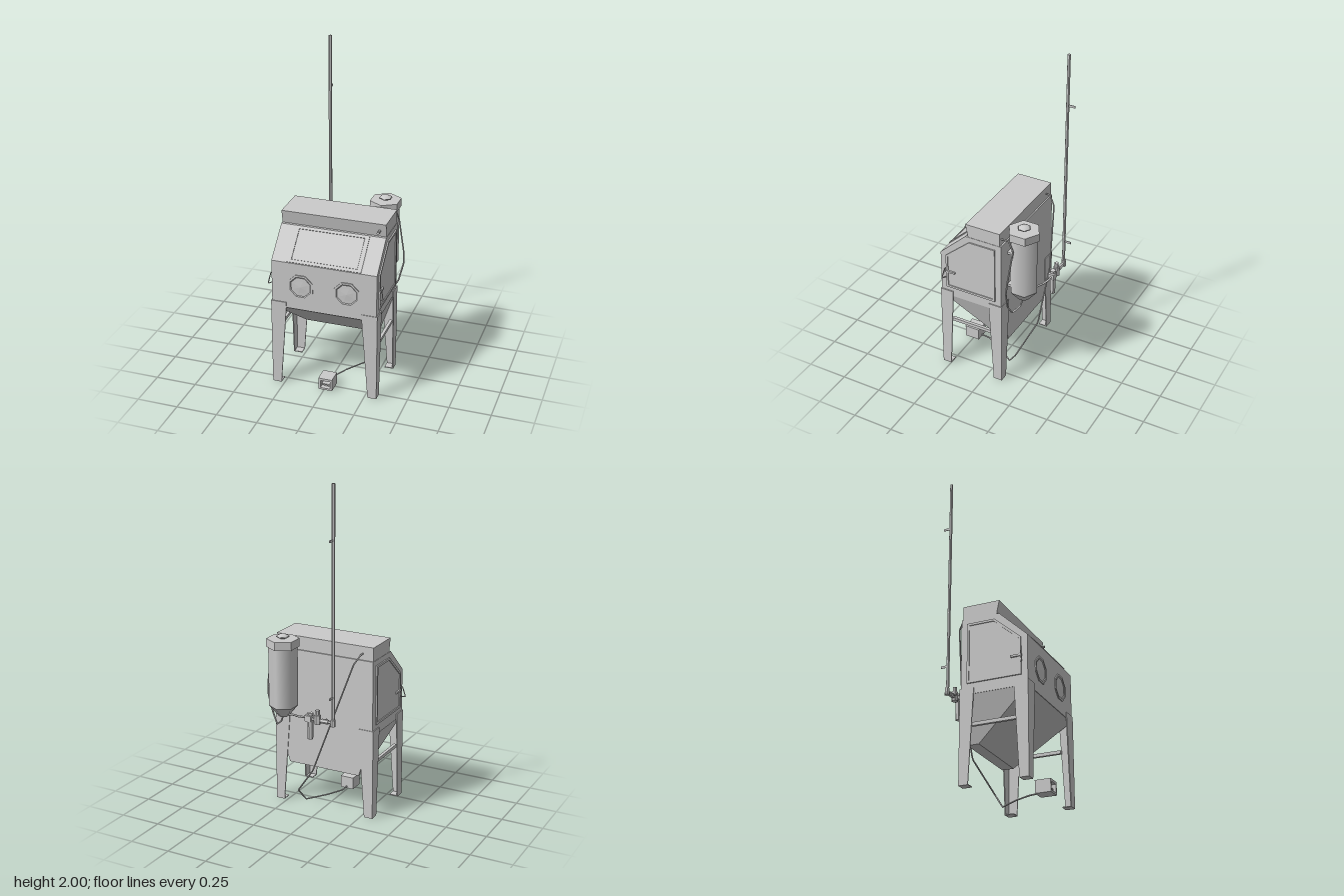
import * as THREE from 'three';
import { ConvexGeometry } from 'three/addons/geometries/ConvexGeometry.js';

export function createModel() {
  const model = new THREE.Group();
  const flat = new THREE.MeshStandardMaterial({ color: 0xcccccc, flatShading: true, side: THREE.DoubleSide });
  const smooth = new THREE.MeshStandardMaterial({ color: 0xcccccc, side: THREE.DoubleSide });
  const V = (x, y, z) => new THREE.Vector3(x, y, z);

  const add = (name, geo, mat = flat, parent = model) => {
    const mesh = new THREE.Mesh(geo, mat);
    mesh.name = name;
    parent.add(mesh);
    return mesh;
  };
  const box = (name, w, h, d, x, y, z, parent) =>
    add(name, new THREE.BoxGeometry(w, h, d).translate(x, y, z), flat, parent);
  const outline = pts => pts.map(p => new THREE.Vector2(p[0], p[1]));
  // Extrudes an (x, y) outline between two z values
  const plateZ = (pts, z0, z1, hole) => {
    const s = new THREE.Shape(outline(pts));
    if (hole) s.holes.push(new THREE.Path(outline(hole)));
    return new THREE.ExtrudeGeometry(s, { depth: z1 - z0, bevelEnabled: false }).translate(0, 0, z0);
  };
  // Extrudes a (z, y) outline between two x values
  const plateX = (pts, x0, x1, hole) => plateZ(pts, -x1, -x0, hole).rotateY(-Math.PI / 2);
  // Angular pipe through a list of points
  const pipe = (name, pts, r, parent) => {
    const path = new THREE.CurvePath();
    for (let i = 1; i < pts.length; i++) path.add(new THREE.LineCurve3(V(...pts[i - 1]), V(...pts[i])));
    return add(name, new THREE.TubeGeometry(path, pts.length * 8, r, 6), smooth, parent);
  };
  const rod = (name, r0, r1, h, x, y, z, axis = 'y', sides = 6, parent) => {
    const g = new THREE.CylinderGeometry(r0, r1, h, sides);
    if (axis === 'x') g.rotateZ(Math.PI / 2);
    if (axis === 'z') g.rotateX(Math.PI / 2);
    return add(name, g.translate(x, y, z), flat, parent);
  };

  // Cabinet body and light housing
  add('cabinetBody', plateX([[-0.1, 0.515], [0.3, 0.515], [0.3, 0.81], [0.13, 0.97], [-0.1, 0.97]], -0.318, 0.318));
  add('lightHousing', plateX([[-0.092, 0.96], [0.112, 0.96], [0.13, 1.052], [-0.092, 1.052]], -0.316, 0.316));
  rod('housingKnob', 0.008, 0.008, 0.035, 0.276, 1.005, 0.138, 'z', 8);

  // Hopper tapering to a flat strip at the back
  const hopper = [];
  for (const s of [-1, 1]) hopper.push(V(s * 0.316, 0.516, 0.298), V(s * 0.316, 0.516, -0.1),
    V(s * 0.23, 0.255, -0.03), V(s * 0.23, 0.255, -0.1));
  add('hopper', new ConvexGeometry(hopper));

  // Sloped viewing window
  const win = new THREE.Group();
  win.name = 'window';
  win.position.set(0, 0.89, 0.215);
  win.rotation.x = -Math.atan2(0.17, 0.16);
  const rect = (w, h) => [[-w, -h], [w, -h], [w, h], [-w, h]];
  add('windowFrame', plateZ(rect(0.223, 0.113), 0, 0.005, rect(0.2, 0.097)), flat, win);
  add('windowPane', plateZ(rect(0.196, 0.093), 0, 0.003), flat, win);
  model.add(win);

  // Octagonal glove ports
  for (const s of [-1, 1]) {
    const port = [[0.08, 0], [0.08, 0.007], [0.068, 0.007], [0.062, 0.003], [0.04, 0.004], [0, 0.007]];
    add('glovePort', new THREE.LatheGeometry(outline(port), 8, Math.PI / 8).rotateX(Math.PI / 2)
      .translate(s * 0.14, 0.665, 0.299));
  }

  // Side doors, latches and leg braces
  const door = [[0.263, 0.578], [0.263, 0.8], [0.105, 0.938], [-0.062, 0.938], [-0.062, 0.578]];
  const doorHole = [[0.25, 0.592], [0.25, 0.793], [0.1, 0.925], [-0.049, 0.925], [-0.049, 0.592]];
  for (const s of [-1, 1]) {
    const span = (a, b) => s > 0 ? [a, b] : [-b, -a];
    add('doorPanel', plateX(door, ...span(0.317, 0.3205)));
    add('doorFrame', plateX(door, ...span(0.317, 0.326), doorHole));
    box('latchPlate', 0.012, 0.012, 0.065, s * 0.324, 0.69, 0.235);
    pipe('latchBail', [[s * 0.32, 0.71, 0.262], [s * 0.336, 0.712, 0.265], [s * 0.35, 0.645, 0.28],
      [s * 0.325, 0.65, 0.262]], 0.003);
    box('legBrace', 0.018, 0.02, 0.27, s * 0.308, 0.34, 0.1);
  }

  // Four folded sheet legs with foot plates
  for (const sx of [-1, 1]) for (const sz of [-1, 1]) {
    const leg = new THREE.Group();
    leg.name = sz > 0 ? 'frontLeg' : 'backLeg';
    const zo = sz > 0 ? 0.304 : -0.104;
    const face = [[0.324, 0], [0.27, 0], [0.23, 0.517], [0.23, 0.55], [0.324, 0.55]].map(p => [sx * p[0], p[1]]);
    const side = [[0, 0], [0.055, 0], [0.083, 0.517], [0.083, 0.55], [0, 0.55]].map(p => [zo - sz * p[0], p[1]]);
    add('legFace', plateZ(face, Math.min(zo, zo - sz * 0.006), Math.max(zo, zo - sz * 0.006)), flat, leg);
    add('legSide', sx > 0 ? plateX(side, 0.318, 0.324) : plateX(side, -0.324, -0.318), flat, leg);
    box('foot', 0.054, 0.005, 0.055, sx * 0.297, 0.0025, zo - sz * 0.0275, leg);
    model.add(leg);
  }

  // Hexagonal dust collector with cone bottom and capped lid
  const tank = new THREE.Group();
  tank.name = 'dustCollector';
  tank.position.set(0.216, 0, -0.194);
  const cyl = (name, r0, r1, y0, y1, mat) =>
    add(name, new THREE.CylinderGeometry(r1, r0, y1 - y0, 6).translate(0, (y0 + y1) / 2, 0), mat, tank);
  cyl('collectorBody', 0.085, 0.085, 0.65, 1.01, smooth);
  cyl('collectorCone', 0.032, 0.085, 0.585, 0.65, smooth);
  cyl('collectorLid', 0.096, 0.096, 1.01, 1.06, flat);
  cyl('ventNeck', 0.02, 0.02, 1.06, 1.072, flat);
  add('ventCap', new THREE.LatheGeometry(outline([[0, 1.068], [0.04, 1.07], [0.036, 1.077], [0.02, 1.084], [0, 1.087]]), 6), smooth, tank);
  model.add(tank);
  for (const y of [0.885, 0.66]) box('collectorBracket', 0.05, 0.015, 0.06, 0.216, y, -0.115);

  // Tall stand pipe with small tabs
  rod('standPipe', 0.01, 0.01, 1.39, -0.152, 1.305, -0.267);
  for (const y of [1.69, 0.785]) box('pipeTab', 0.004, 0.014, 0.04, -0.152, y, -0.292);
  rod('pipeElbow', 0.015, 0.015, 0.04, -0.152, 0.63, -0.27);

  // Valve, regulator and filter in line
  rod('airLine', 0.009, 0.009, 0.18, -0.062, 0.63, -0.27, 'x');
  rod('valveBody', 0.014, 0.014, 0.045, -0.1, 0.63, -0.27, 'x');
  rod('valveStem', 0.005, 0.005, 0.03, -0.095, 0.63, -0.252, 'z');
  rod('valveHandle', 0.008, 0.008, 0.006, -0.095, 0.63, -0.243, 'z');
  rod('regulator', 0.02, 0.02, 0.055, -0.052, 0.635, -0.271);
  rod('regulatorKnob', 0.013, 0.013, 0.03, -0.052, 0.677, -0.271);
  box('filterHead', 0.04, 0.035, 0.038, 0.004, 0.635, -0.271);
  rod('filterCap', 0.018, 0.018, 0.015, -0.005, 0.66, -0.271);
  rod('filterBowl', 0.02, 0.016, 0.11, -0.005, 0.562, -0.271);
  pipe('supplyHose', [[0.02, 0.635, -0.271], [0.05, 0.633, -0.271], [0.085, 0.625, -0.257],
    [0.135, 0.61, -0.215], [0.2, 0.6, -0.198]], 0.006);

  // Side hose from housing to collector base
  pipe('collectorHose', [[0.297, 1.01, -0.09], [0.298, 1.012, -0.14], [0.307, 0.955, -0.172], [0.343, 0.76, -0.155],
    [0.347, 0.68, -0.147], [0.32, 0.57, -0.142], [0.285, 0.505, -0.155], [0.24, 0.54, -0.185], [0.216, 0.59, -0.194]], 0.005);

  // Control hose from cabinet back down to the pedal
  pipe('pedalHose', [[-0.25, 1.01, -0.09], [-0.25, 1.01, -0.12], [-0.225, 0.96, -0.16], [-0.103, 0.6, -0.2],
    [0.025, 0.27, -0.191], [0.168, 0.085, -0.113], [0.145, 0.008, -0.06], [0.06, 0.008, 0.06],
    [0.01, 0.008, 0.16], [0.008, 0.012, 0.22]], 0.0045);

  // Foot pedal in an open-fronted guard
  const pedal = new THREE.Group();
  pedal.name = 'footPedal';
  add('pedalGuard', plateZ([[-0.035, 0], [0.05, 0], [0.05, 0.075], [-0.035, 0.075]], 0.213, 0.306,
    [[-0.022, 0.012], [0.037, 0.012], [0.037, 0.06], [-0.022, 0.06]]), flat, pedal);
  box('guardBack', 0.083, 0.073, 0.006, 0.0075, 0.0375, 0.216, pedal);
  box('pedalPlate', 0.05, 0.008, 0.075, 0.0075, 0.03, 0.255, pedal).rotation.x = 0;
  box('pedalBlock', 0.035, 0.016, 0.06, 0.0075, 0.019, 0.25, pedal);
  model.add(pedal);

  return model;
}
